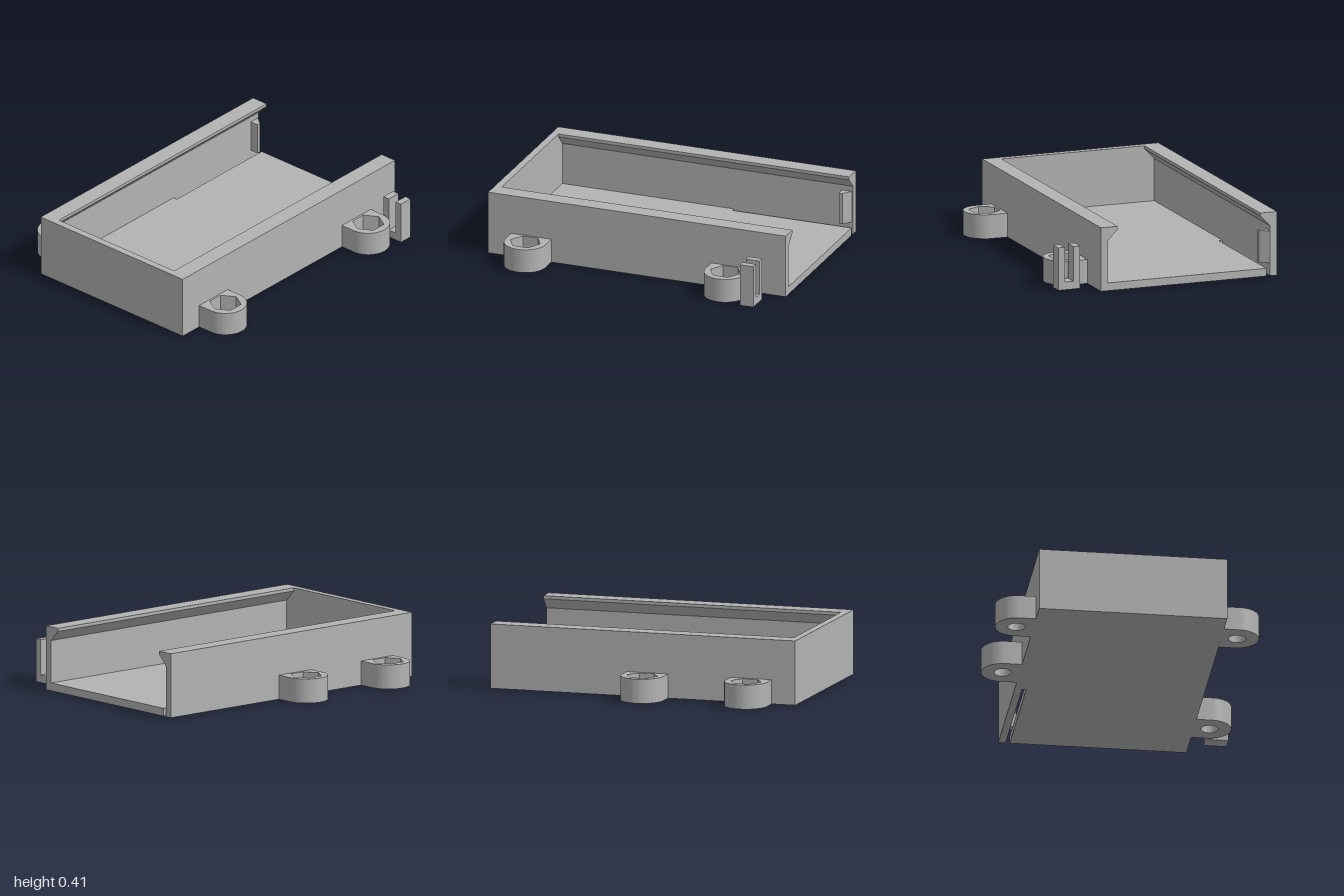
import * as THREE from 'three';
import { toCreasedNormals } from 'three/addons/utils/BufferGeometryUtils.js';

const grey = new THREE.MeshStandardMaterial({ color: 0xb3b3b3 });
grey.name = 'grey plastic';

const H = 0.408, FLOOR = 0.05, OUT = 0.592, IN = 0.546;

function polygon(points) {
  return new THREE.Shape(points.map(([x, y]) => new THREE.Vector2(x, y)));
}

function part(name, geometry) {
  const mesh = new THREE.Mesh(geometry, grey);
  mesh.name = name;
  return mesh;
}

function extrude(shape, depth) {
  return new THREE.ExtrudeGeometry(shape, { depth, bevelEnabled: false, curveSegments: 24 });
}

// Profile given as [z, y], swept along x from x0 to x1
function sweepX(points, x0, x1) {
  const geometry = extrude(polygon(points.map(([z, y]) => [-z, y])), x1 - x0);
  return geometry.rotateY(Math.PI / 2).translate(x0, 0, 0);
}

// Plan drawn as [x, -z], raised from y0 to y1
function raise(shape, y0, y1) {
  return extrude(shape, y1 - y0).rotateX(-Math.PI / 2).translate(0, y0, 0);
}

// Screw lug: rounded plan, round hole below and hexagonal nut pocket above
function lug(name, x, z) {
  const R = 0.135;
  const plan = hole => {
    const s = new THREE.Shape();
    s.moveTo(R, 0.11);
    s.lineTo(-R, 0.11);
    s.lineTo(-R, 0);
    s.absarc(0, 0, R, Math.PI, Math.PI * 2, false);
    s.closePath();
    s.holes.push(hole);
    return s;
  };
  const round = new THREE.Path().absarc(0, 0, 0.054, 0, Math.PI * 2, true);
  const hex = new THREE.Path();
  for (let i = 0; i < 6; i++) {
    const a = -i * Math.PI / 3, px = 0.1 * Math.cos(a), py = 0.1 * Math.sin(a);
    if (i === 0) hex.moveTo(px, py);
    else hex.lineTo(px, py);
  }
  hex.closePath();
  const group = new THREE.Group();
  group.name = name;
  group.add(part('lugBase', toCreasedNormals(raise(plan(round), 0, 0.05), 0.5)));
  group.add(part('nutPocket', toCreasedNormals(raise(plan(hex), 0.05, 0.154), 0.5)));
  group.position.set(x, 0, z);
  if (z < 0) group.rotation.y = Math.PI;
  return group;
}

export function createModel() {
  const model = new THREE.Group();
  model.name = 'openTray';

  // Floor with a slit beside the flexible end of the back wall
  model.add(part('floor', raise(polygon([
    [-0.954, -IN], [1, -IN], [1, 0.52], [0.2, 0.52], [0.2, IN], [-0.954, IN],
  ]), 0, FLOOR)));

  // Side walls with a chamfered overhanging lip
  const wall = [[OUT, 0], [OUT, H], [0.48, H], [0.48, 0.388], [IN, 0.32], [IN, 0]];
  model.add(part('frontWall', sweepX(wall, -1, 1)));
  model.add(part('backWall', sweepX(wall.map(([z, y]) => [-z, y]).reverse(), -1, 1)));

  // Closed end
  const end = new THREE.BoxGeometry(0.046, H, IN * 2).translate(-0.977, H / 2, 0);
  model.add(part('endWall', end));

  // Ramped latch on the inside of the back wall
  model.add(part('latch', raise(polygon([
    [0.926, IN], [0.926, 0.49], [0.95, 0.49], [0.992, IN],
  ]), 0.08, 0.285)));

  // Mounting lugs
  model.add(lug('frontLugRight', -0.71, 0.692));
  model.add(lug('frontLugLeft', 0.635, 0.692));
  model.add(lug('backLugRight', -0.71, -0.697));
  model.add(lug('backLugMiddle', -0.03, -0.697));

  // Free-standing U-shaped clip
  model.add(part('cableClip', sweepX([
    [0.683, 0], [0.83, 0], [0.83, 0.273], [0.786, 0.273],
    [0.786, 0.05], [0.729, 0.05], [0.729, 0.273], [0.683, 0.273],
  ], 0.787, 0.878)));

  return model;
}
